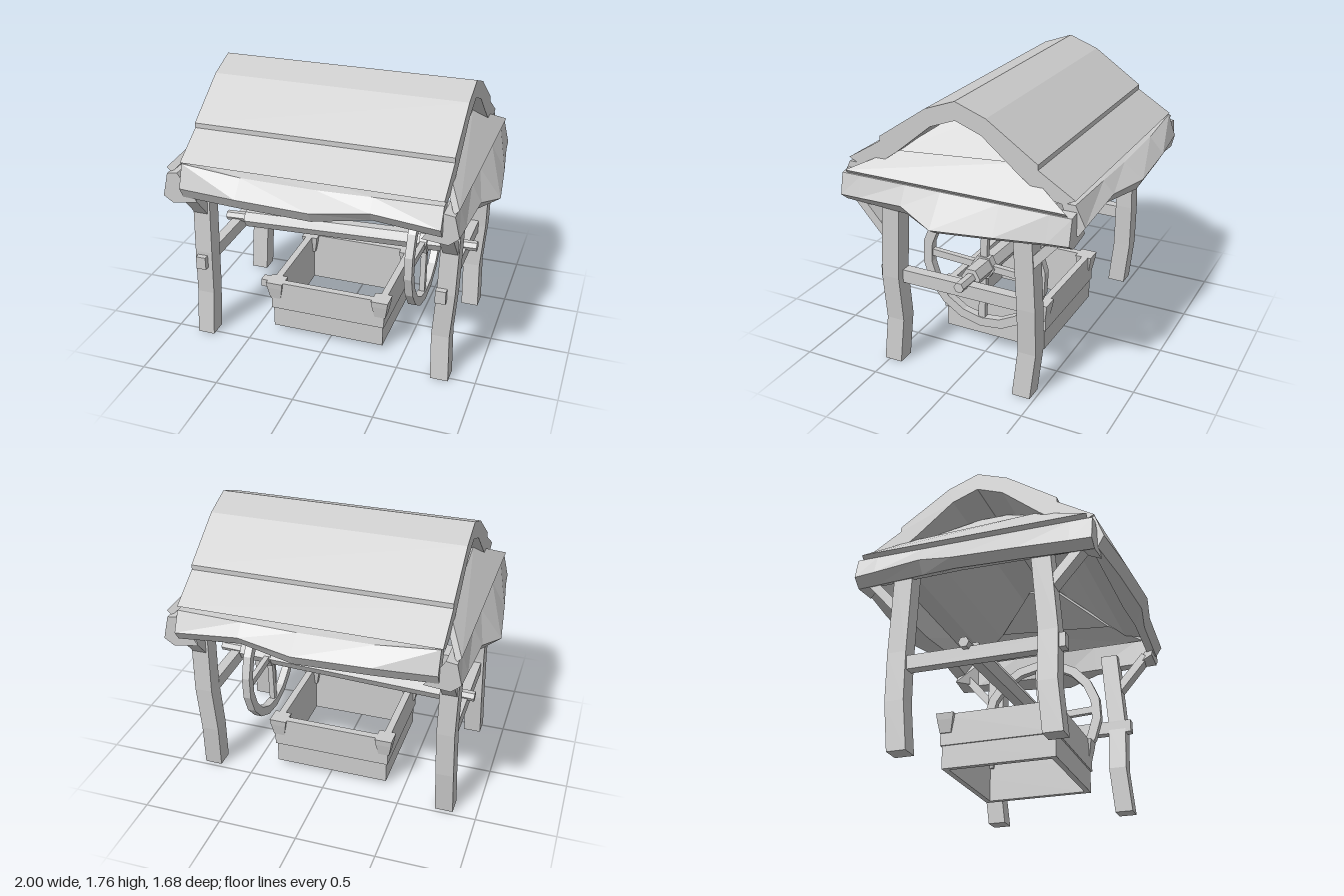
import * as THREE from 'three';

const wood = new THREE.MeshStandardMaterial({ color: 0xcccccc, flatShading: true });
wood.name = 'pale grey';

// Flat-shaded solid through matching rings of [x, y, z] points, capped at both ends
function loft(rings) {
  const tris = [];
  const n = rings[0].length;
  for (let i = 0; i < rings.length - 1; i++) {
    for (let j = 0; j < n; j++) {
      const k = (j + 1) % n;
      const a = rings[i][j], b = rings[i][k], c = rings[i + 1][k], d = rings[i + 1][j];
      tris.push([a, b, c], [a, c, d]);
    }
  }
  const first = rings[0], last = rings[rings.length - 1];
  for (let j = 1; j < n - 1; j++) {
    tris.push([first[0], first[j + 1], first[j]], [last[0], last[j], last[j + 1]]);
  }
  // Turn the faces outward if the signed volume is negative
  const o = new THREE.Vector3(...first[0]);
  let volume = 0;
  for (const t of tris) {
    const [a, b, c] = t.map((p) => new THREE.Vector3(...p).sub(o));
    volume += a.dot(b.cross(c));
  }
  if (volume < 0) tris.forEach((t) => t.reverse());
  const geo = new THREE.BufferGeometry();
  geo.setAttribute('position', new THREE.Float32BufferAttribute(tris.flat(2), 3));
  geo.computeVertexNormals();
  return geo;
}

function add(parent, name, geo, x = 0, y = 0, z = 0) {
  const mesh = new THREE.Mesh(geo, wood);
  mesh.name = name;
  mesh.position.set(x, y, z);
  parent.add(mesh);
  return mesh;
}

const box = (w, h, d) => new THREE.BoxGeometry(w, h, d);

// Extruded rectangular or round outline with a matching hole
function frame(outer, inner, depth) {
  const shape = new THREE.Shape(outer);
  shape.holes.push(new THREE.Path(inner));
  return new THREE.ExtrudeGeometry(shape, { depth, bevelEnabled: false });
}
const ngon = (r, n) => Array.from({ length: n }, (_, i) => {
  const a = ((i + 0.5) / n) * Math.PI * 2;
  return new THREE.Vector2(Math.cos(a) * r, Math.sin(a) * r);
});
const rect = (w, d) => [[-w, -d], [w, -d], [w, d], [-w, d]].map((p) => new THREE.Vector2(...p));

// Arched roof shell with a plank step, running along x
function buildRoof(g) {
  const outer = [[0.72, 1.315], [0.5, 1.45], [0.5, 1.48], [0.19, 1.69]];
  const inner = [[0.16, 1.59], [0.39, 1.4], [0.53, 1.3], [0.65, 1.28]];
  const mirror = (pts) => pts.map(([z, y]) => [-z, y]).reverse();
  const outline = [...outer, [0, 1.76], ...mirror(outer), ...mirror(inner), [0, 1.65], ...inner];
  const shape = new THREE.Shape(outline.map(([z, y]) => new THREE.Vector2(-z, y)));
  const geo = new THREE.ExtrudeGeometry(shape, { depth: 1.58, bevelEnabled: false });
  geo.rotateY(Math.PI / 2);
  add(g, 'roofShell', geo, -0.78);

  // Wavy eaves at front and back: x, outer z, top y, outer y, bottom y
  const stations = [
    [-0.77, 0.77, 1.31, 1.17, 1.1], [-0.4, 0.81, 1.275, 1.175, 1.105],
    [0.06, 0.84, 1.27, 1.18, 1.11], [0.4, 0.785, 1.28, 1.21, 1.15], [0.8, 0.78, 1.29, 1.17, 1.11],
  ];
  for (const s of [1, -1]) {
    add(g, s > 0 ? 'frontEave' : 'backEave', loft(stations.map(([x, z, top, mid, low]) => [
      [x, top, s * 0.72], [x, mid, s * z], [x, low, s * (z - 0.04)],
      [x, low + 0.03, s * 0.68], [x, 1.29, s * 0.64],
    ])));
  }
}

// Sloping gable boards and the wavy side eave below them, for the +x end
function buildGable() {
  const g = new THREE.Group();
  const slab = (ring) => loft([ring, ring.map(([x, y, z]) => [x - 0.03, y - 0.03, z])]);
  add(g, 'lowerGableBoard', slab([
    [0.88, 1.265, 0.7], [0.88, 1.265, -0.7], [0.72, 1.44, -0.36], [0.75, 1.39, 0.43]]));
  add(g, 'upperGableBoard', slab([
    [0.735, 1.38, 0.43], [0.705, 1.43, -0.36], [0.5, 1.62, -0.09], [0.5, 1.62, 0.09]]));
  // z, outer x, outer y, bottom y, inner x
  const stations = [
    [-0.73, 0.9, 1.09, 1.05, 0.68], [-0.6, 0.912, 1.087, 1.047, 0.8],
    [-0.3, 0.955, 1.075, 1.035, 0.81], [0.07, 1.0, 1.06, 1.02, 0.82],
    [0.3, 0.925, 1.13, 1.06, 0.81], [0.6, 0.903, 1.115, 1.06, 0.8],
    [0.73, 0.895, 1.11, 1.06, 0.68],
  ];
  add(g, 'sideEave', loft(stations.map(([z, x, mid, low, inside]) => [
    [0.8, 1.25, z], [0.865, 1.24, z], [x, mid, z], [x - 0.06, low, z], [inside, 1.075, z],
  ])));
  return g;
}

// Slightly crooked posts with a diagonal brace under each eave
function buildPosts(g) {
  const ys = [0, 0.3, 0.6, 1.14];
  const xs = { right: [-0.795, -0.79, -0.782, -0.79], left: [0.78, 0.768, 0.79, 0.8] };
  const zs = { front: [0.475, 0.447, 0.452, 0.412], back: [-0.415, -0.447, -0.452, -0.43] };
  for (const side of ['left', 'right']) {
    for (const end of ['front', 'back']) {
      const rings = ys.map((y, i) => [[-1, -1], [1, -1], [1, 1], [-1, 1]].map(
        ([a, b]) => [xs[side][i] + a * 0.056, y, zs[end][i] + b * 0.058]));
      add(g, `${end}${side === 'left' ? 'Left' : 'Right'}Post`, loft(rings));
      const s = end === 'front' ? 1 : -1;
      const brace = add(g, 'brace', box(0.09, 0.34, 0.055), xs[side][3], 0.985, s * 0.555);
      brace.rotation.x = s * 0.72;
    }
  }
  add(g, 'leftCrossbeam', box(0.065, 0.085, 0.945), 0.765, 0.597, 0.073);
  add(g, 'rightCrossbeam', box(0.065, 0.085, 0.945), -0.79, 0.535, 0.073);
}

// Tilted hexagonal axle with end pegs and the spoked wheel
function buildWinch(g) {
  const axle = new THREE.Group();
  axle.name = 'axle';
  axle.position.set(0, 0.62, -0.03);
  axle.rotation.z = 0.038;
  const rod = (name, r, length) => {
    const geo = new THREE.CylinderGeometry(r, r, length, 6);
    geo.rotateZ(Math.PI / 2);
    add(axle, name, geo);
  };
  rod('axleBeam', 0.062, 1.44);
  rod('axlePegs', 0.033, 1.73);
  g.add(axle);

  const wheel = new THREE.Group();
  wheel.name = 'wheel';
  wheel.position.set(0.527, 0.637, -0.02);
  wheel.rotation.x = -0.05;
  const rim = frame(ngon(0.42, 18), ngon(0.36, 18), 0.05);
  rim.rotateY(Math.PI / 2);
  add(wheel, 'rim', rim, -0.025);
  add(wheel, 'verticalSpoke', box(0.035, 0.75, 0.045));
  add(wheel, 'crossSpoke', box(0.035, 0.045, 0.75));
  const hub = new THREE.CylinderGeometry(0.08, 0.08, 0.05, 6);
  hub.rotateZ(Math.PI / 2);
  add(wheel, 'hub', hub);
  g.add(wheel);
}

// Open square crate under the roof with clamps on the corners
function buildCrate(g) {
  const crate = new THREE.Group();
  crate.name = 'crate';
  crate.position.x = -0.01;
  const ring = (name, w, d, t, y0, y1) => {
    const geo = frame(rect(w, d), rect(w - t, d - t), y1 - y0);
    geo.rotateX(-Math.PI / 2);
    add(crate, name, geo, 0, y0);
  };
  ring('lowerBoards', 0.372, 0.35, 0.035, 0.035, 0.18);
  ring('upperBoards', 0.382, 0.36, 0.045, 0.175, 0.37);
  // Clamps taper downward
  const clamp = (x, z) => loft([[0.37, 0.055], [0.33, 0.05], [0.25, 0.035]].map(([y, r]) =>
    [[-1, -1], [1, -1], [1, 1], [-1, 1]].map(([a, b]) => [x + a * r, y, z + b * r])));
  for (const x of [-1, 1]) {
    for (const z of [-1, 1]) add(crate, 'cornerClamp', clamp(x * 0.355, z * 0.325));
    add(crate, 'rimPeg', box(0.07, 0.05, 0.06), x < 0 ? -0.42 : 0.37, 0.345, x * -0.32);
  }
  g.add(crate);
}

export function createModel() {
  const g = new THREE.Group();
  g.name = 'coveredWell';
  buildRoof(g);
  const left = buildGable();
  left.name = 'leftGable';
  const right = buildGable();
  right.name = 'rightGable';
  right.rotation.y = Math.PI;
  g.add(left, right);
  buildPosts(g);
  buildWinch(g);
  buildCrate(g);
  return g;
}
